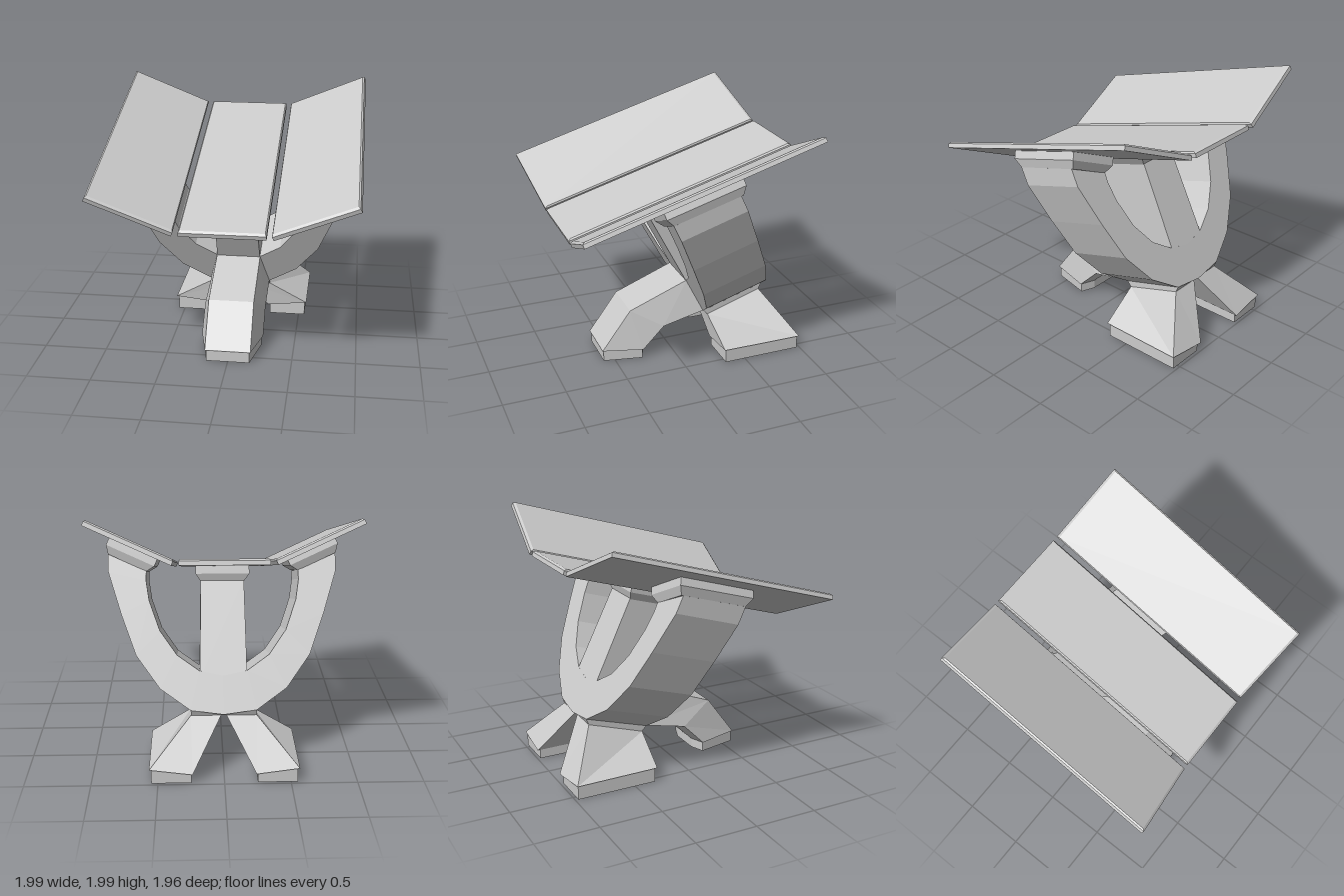
import * as THREE from 'three';

const material = new THREE.MeshStandardMaterial({ color: 0xcccccc, flatShading: true });
const TILT = 0.286; // slope of the table top
const FOLD = 0.428; // upward fold of the side panels

// Joins rings of [x, y, z] corners into a closed faceted solid
function loft(name, rings) {
  const tris = [];
  const n = rings[0].length;
  for (let i = 0; i < rings.length - 1; i++) {
    for (let j = 0; j < n; j++) {
      const k = (j + 1) % n;
      const [a, b, c, d] = [rings[i][j], rings[i][k], rings[i + 1][k], rings[i + 1][j]];
      tris.push([a, b, c], [a, c, d]);
    }
  }
  const first = rings[0], last = rings[rings.length - 1];
  for (let j = 1; j < n - 1; j++) {
    tris.push([first[0], first[j + 1], first[j]], [last[0], last[j], last[j + 1]]);
  }
  // Turn the faces outward when the enclosed volume is negative
  const v = (p) => new THREE.Vector3(...p);
  const volume = tris.reduce((s, [a, b, c]) => s + v(a).dot(v(b).cross(v(c))), 0);
  if (volume < 0) tris.forEach((t) => t.reverse());

  const geometry = new THREE.BufferGeometry();
  geometry.setAttribute('position', new THREE.Float32BufferAttribute(tris.flat(2), 3));
  geometry.computeVertexNormals();
  const mesh = new THREE.Mesh(geometry, material);
  mesh.name = name;
  return mesh;
}

// Horizontal rectangle at height y
const rect = (x0, x1, y, z0, z1) => [[x0, y, z0], [x1, y, z0], [x1, y, z1], [x0, y, z1]];

// Flat panel with bevelled upper edges
const panel = (name, x0, x1) => loft(name, [
  rect(x0, x1, 0, -0.95, 0.95),
  rect(x0, x1, 0.033, -0.95, 0.95),
  rect(x0 + 0.01, x1 - 0.01, 0.045, -0.93, 0.93),
]);

// Mounting plate under a panel, tapering down to its arm
const mount = (name, x, half) => loft(name, [
  rect(x - half - 0.04, x + half + 0.04, 0, -0.315, 0.32),
  rect(x - half - 0.04, x + half + 0.04, -0.06, -0.315, 0.32),
  rect(x - half, x + half, -0.12, -0.28, 0.28),
]);

export function createModel() {
  const model = new THREE.Group();
  model.name = 'foldedTable';

  // Tilted top: centre panel and two raised side panels
  const top = new THREE.Group();
  top.name = 'tableTop';
  top.position.set(0, 1.42, -0.04);
  top.rotation.x = TILT;
  top.add(panel('centrePanel', -0.322, 0.322), mount('centreMount', 0, 0.165));
  for (const s of [1, -1]) {
    const wing = new THREE.Group();
    wing.name = s > 0 ? 'leftWing' : 'rightWing';
    wing.position.x = s * 0.375;
    wing.rotation.z = s * FOLD;
    wing.add(panel('sidePanel', Math.min(0, s * 0.68), Math.max(0, s * 0.68)));
    wing.add(mount('sideMount', s * 0.33, 0.16));
    top.add(wing);
  }
  model.add(top);

  // Leaning U-shaped cradle: outer x, y and inner x, y of its front face
  const half = [
    [0, 0.31, 0, 0.575],
    [0.25, 0.34, 0.18, 0.61],
    [0.48, 0.49, 0.35, 0.72],
    [0.66, 0.72, 0.48, 0.89],
    [0.77, 1.0, 0.56, 1.1],
    [0.87, 1.3, 0.583, 1.24],
    [0.87, 1.43, 0.58, 1.305],
  ];
  const front = (x, y) => [x, y, -0.25 + 0.465 * (y - 0.34)];
  const back = (x, y) => {
    const [, fy, fz] = front(x, y);
    return [x, fy + 0.16, fz - 0.52];
  };
  const mirrored = half.slice(1).reverse().map(([a, b, c, d]) => [-a, b, -c, d]);
  model.add(loft('cradle', [...mirrored, ...half].map(([ox, oy, ix, iy]) =>
    [front(ox, oy), back(ox, oy), back(ix, iy), front(ix, iy)])));

  // Central arm rising to the middle panel
  model.add(loft('centreArm', [
    [front(-0.18, 0.55), front(0.18, 0.55), back(0.18, 0.55), back(-0.18, 0.55)],
    [[-0.165, 1.24, 0.2], [0.165, 1.24, 0.2], [0.165, 1.4, -0.34], [-0.165, 1.4, -0.34]],
  ]));

  // Hub below the cradle
  model.add(loft('hub', [
    [[-0.25, 0.3, -0.29], [0.25, 0.3, -0.29], [0.25, 0.45, -0.75], [-0.25, 0.45, -0.75]],
    [[-0.25, 0.345, -0.25], [0.25, 0.345, -0.25], [0.25, 0.5, -0.77], [-0.25, 0.5, -0.77]],
  ]));

  // Splayed rear legs on block feet
  for (const s of [1, -1]) {
    model.add(loft('rearLeg', [
      [[s * 0.02, 0.3, -0.29], [s * 0.25, 0.3, -0.29], [s * 0.25, 0.45, -0.75], [s * 0.02, 0.45, -0.75]],
      [[s * 0.24, 0.085, -0.315], [s * 0.565, 0.12, -0.315], [s * 0.565, 0.115, -0.985], [s * 0.24, 0.08, -1.0]],
    ]));
    model.add(loft('rearFoot', [
      rect(s * 0.25, s * 0.55, 0, -0.975, -0.33),
      [[s * 0.25, 0.085, -0.975], [s * 0.55, 0.116, -0.975], [s * 0.55, 0.118, -0.33], [s * 0.25, 0.086, -0.33]],
    ]));
  }

  // Bent front leg: six-sided sections from an upper to a lower edge [z, y]
  const section = ([tz, ty], [bz, by], w = 1) =>
    [[-0.18, 0], [0.18, 0], [0.25, 0.88], [0.13, 1], [-0.13, 1], [-0.25, 0.88]].map(([x, t]) =>
      [x * w, THREE.MathUtils.lerp(ty, by, t), THREE.MathUtils.lerp(tz, bz, t)]);
  model.add(loft('frontLeg', [
    section([-0.13, 0.61], [-0.28, 0.31]),
    section([0.36, 0.42], [0.06, 0.242]),
    section([0.6, 0.095], [0.23, 0.08]),
  ]));
  model.add(loft('frontFoot', [
    section([0.59, 0.093], [0.235, 0.081], 0.95),
    section([0.59, 0], [0.235, 0], 0.95),
  ]));

  return model;
}
